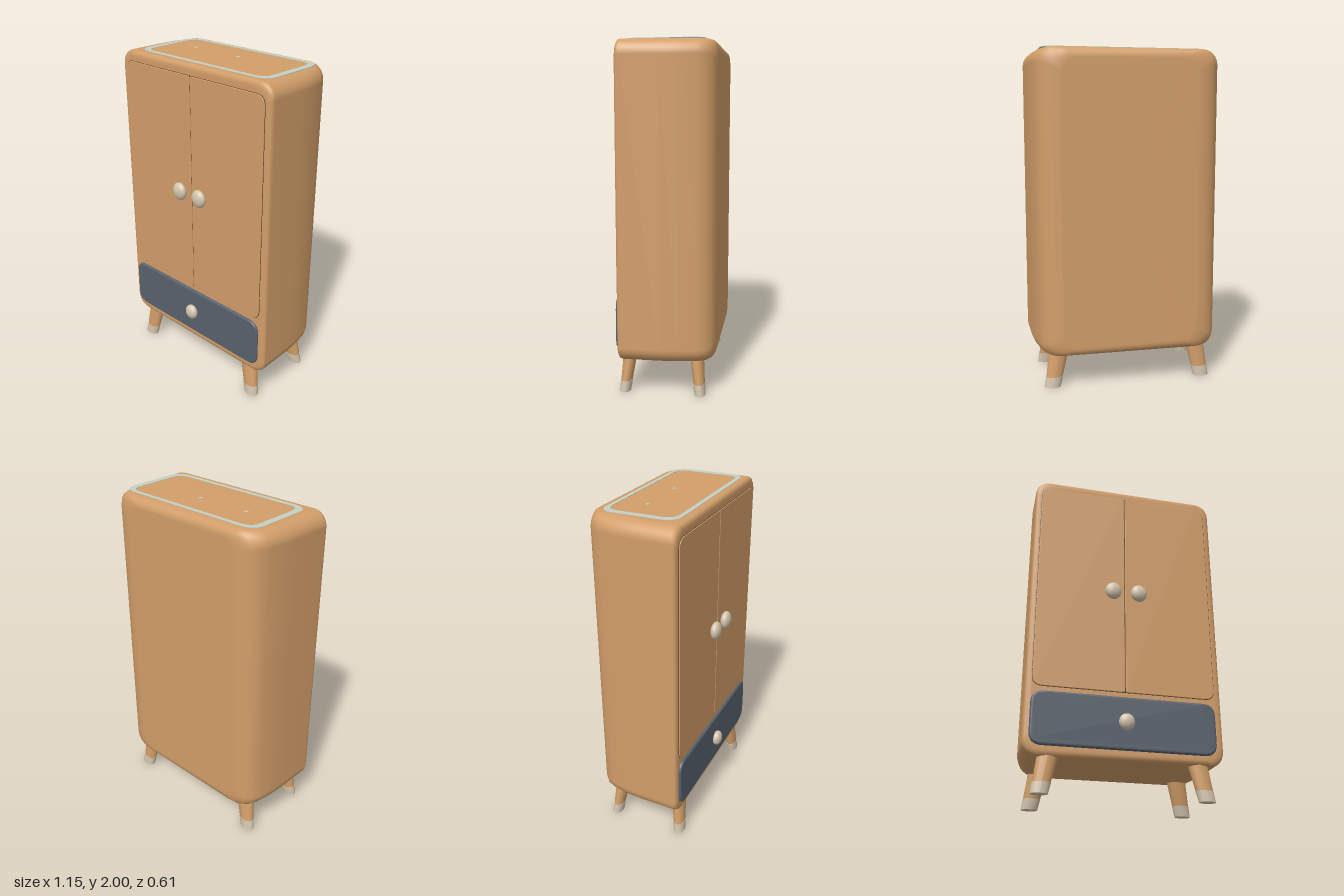
import * as THREE from 'three';

const mat = (name, color) => {
  const m = new THREE.MeshStandardMaterial({ color });
  m.name = name;
  return m;
};

// Rounded rectangle; r = [bottom left, bottom right, top right, top left]
function roundedRect(x0, y0, x1, y1, r) {
  const s = new THREE.Shape();
  s.moveTo(x0 + r[0], y0);
  s.lineTo(x1 - r[1], y0);
  s.quadraticCurveTo(x1, y0, x1, y0 + r[1]);
  s.lineTo(x1, y1 - r[2]);
  s.quadraticCurveTo(x1, y1, x1 - r[2], y1);
  s.lineTo(x0 + r[3], y1);
  s.quadraticCurveTo(x0, y1, x0, y1 - r[3]);
  s.lineTo(x0, y0 + r[0]);
  s.quadraticCurveTo(x0, y0, x0 + r[0], y0);
  return s;
}

// Plate with a softened front edge, standing on z = 0
function plate(shape, depth, bevel) {
  return new THREE.ExtrudeGeometry(shape, {
    depth: depth - bevel, bevelThickness: bevel, bevelSize: bevel,
    bevelOffset: -bevel, bevelSegments: 3, curveSegments: 10,
  });
}

// Cabinet shell lofted front to back through rounded rectangles
function bodyGeometry() {
  const HX = 0.575, HY = 0.899, CY = 1.099, R = 0.085, N = 9;
  const sections = [ // z, inset in x, inset in y
    [0.245, HX, HY], [0.245, 0.04, 0.04], [0.245, 0.03, 0.026], [0.242, 0.014, 0.014],
    [0.234, 0.004, 0.004], [0.218, 0, 0], [0, 0.004, 0], [-0.1, 0.012, 0],
    [-0.2, 0.03, 0], [-0.25, 0.052, 0.001], [-0.28, 0.085, 0.008], [-0.296, 0.12, 0.022],
    [-0.304, 0.16, 0.042], [-0.304, 0.18, 0.06], [-0.304, HX, HY],
  ];
  const pos = [], index = [], ring = 4 * N;
  for (const [z, ix, iy] of sections) {
    const hx = HX - ix, hy = HY - iy, r = Math.min(R, hx, hy);
    for (let c = 0; c < 4; c++) {
      const sx = c === 0 || c === 3 ? 1 : -1, sy = c < 2 ? 1 : -1;
      for (let k = 0; k < N; k++) {
        const a = (c + k / (N - 1)) * Math.PI / 2;
        pos.push(sx * (hx - r) + r * Math.cos(a), CY + sy * (hy - r) + r * Math.sin(a), z);
      }
    }
  }
  for (let i = 0; i < sections.length - 1; i++) {
    for (let j = 0; j < ring; j++) {
      const a = i * ring + j, b = i * ring + (j + 1) % ring, c = a + ring, d = b + ring;
      index.push(a, c, b, b, c, d);
    }
  }
  const g = new THREE.BufferGeometry();
  g.setAttribute('position', new THREE.Float32BufferAttribute(pos, 3));
  g.setIndex(index);
  g.computeVertexNormals();
  return g;
}

// Slanted oval leg section between two heights; x and z grow towards the foot
function legSection(y0, y1, grow = 0) {
  const g = new THREE.CylinderGeometry(1, 1, y1 - y0, 20, 2);
  g.translate(0, (y0 + y1) / 2, 0);
  const p = g.attributes.position;
  for (let i = 0; i < p.count; i++) {
    const t = p.getY(i) / 0.24;
    const rx = 0.046 + 0.014 * t + grow, rz = 0.03 + 0.011 * t + grow;
    p.setX(i, p.getX(i) * rx + 0.466 - 0.045 * t);
    p.setZ(i, p.getZ(i) * rz + 0.219 - 0.026 * t);
  }
  g.computeVertexNormals();
  return g;
}

export function createModel() {
  const wood = mat('wood', 0xd29e69);
  const slate = mat('slate', 0x58626d);
  const cream = mat('cream', 0xd3c5ae);
  const pale = mat('pale trim', 0xc6d0c4);
  const gap = mat('dark gap', 0x4a3524);
  const root = new THREE.Group();
  root.name = 'wardrobe';
  const add = (name, geo, material, x = 0, y = 0, z = 0, parent = root) => {
    const m = new THREE.Mesh(geo, material);
    m.name = name;
    m.position.set(x, y, z);
    parent.add(m);
    return m;
  };

  add('body', bodyGeometry(), wood);

  // Doors over a thin dark backing that shows as the gap
  add('doorGap', plate(roundedRect(-0.539, 0.593, 0.534, 1.937, [0.06, 0.06, 0.06, 0.06]), 0.002, 0.0005),
    gap, 0, 0, 0.2445);
  add('rightDoor', plate(roundedRect(-0.537, 0.595, -0.005, 1.935, [0.06, 0.012, 0.012, 0.06]), 0.007, 0.003),
    wood, 0, 0, 0.244);
  add('leftDoor', plate(roundedRect(-0.001, 0.595, 0.532, 1.935, [0.012, 0.06, 0.06, 0.012]), 0.007, 0.003),
    wood, 0, 0, 0.244);

  // Drawer front
  add('drawer', plate(roundedRect(-0.54, 0.255, 0.53, 0.565, [0.075, 0.075, 0.075, 0.075]), 0.022, 0.012),
    slate, 0, 0, 0.238);

  // Knobs: flattened ball on a short neck
  const ball = new THREE.SphereGeometry(1, 24, 16);
  const neck = new THREE.CylinderGeometry(0.022, 0.026, 0.04, 16).rotateX(Math.PI / 2);
  const knobs = [['rightDoorKnob', -0.08, 1.235, 0.05], ['leftDoorKnob', 0.078, 1.235, 0.05],
    ['drawerKnob', -0.002, 0.412, 0.045]];
  for (const [name, x, y, r] of knobs) {
    const knob = new THREE.Group();
    knob.name = name;
    knob.position.set(x, y, 0.274);
    add('knobBall', ball, cream, 0, 0, 0, knob).scale.set(r, r * 1.08, 0.03);
    add('knobNeck', neck, cream, 0, 0, -0.02, knob);
    root.add(knob);
  }

  // Pale trim line and two small marks on the top
  const trim = roundedRect(-0.472, -0.2, 0.505, 0.242, [0.09, 0.09, 0.09, 0.09]);
  trim.holes.push(roundedRect(-0.432, -0.173, 0.465, 0.217, [0.07, 0.07, 0.07, 0.07]));
  const trimGeo = new THREE.ExtrudeGeometry(trim, { depth: 0.004, bevelEnabled: false, curveSegments: 10 });
  add('topTrim', trimGeo.rotateX(-Math.PI / 2), pale, 0, 1.996, 0);
  for (const x of [-0.265, 0.07]) {
    add('topMark', new THREE.CylinderGeometry(0.012, 0.012, 0.003, 12), pale, x, 1.998, -0.062);
  }

  // Four splayed legs with cream feet
  const legGeo = legSection(0.05, 0.24), footGeo = legSection(0, 0.062, 0.002);
  const turned = (g) => g.clone().scale(-1, 1, 1);
  const flip = (g) => { // mirror and restore the corner order
    const m = turned(g), ix = m.index.array;
    for (let i = 0; i < ix.length; i += 3) [ix[i], ix[i + 1]] = [ix[i + 1], ix[i]];
    m.computeVertexNormals();
    return m;
  };
  for (const [name, left, back] of [['frontLeft', 1, 0], ['frontRight', 0, 0], ['backLeft', 1, 1], ['backRight', 0, 1]]) {
    const leg = new THREE.Group();
    leg.name = name + 'Leg';
    // A half turn swaps both sides, so the other diagonal needs the mirrored shape
    const mirrored = left === back;
    add('leg', mirrored ? flip(legGeo) : legGeo, wood, 0, 0, 0, leg);
    add('foot', mirrored ? flip(footGeo) : footGeo, cream, 0, 0, 0, leg);
    leg.rotation.y = back ? Math.PI : 0;
    root.add(leg);
  }
  return root;
}
